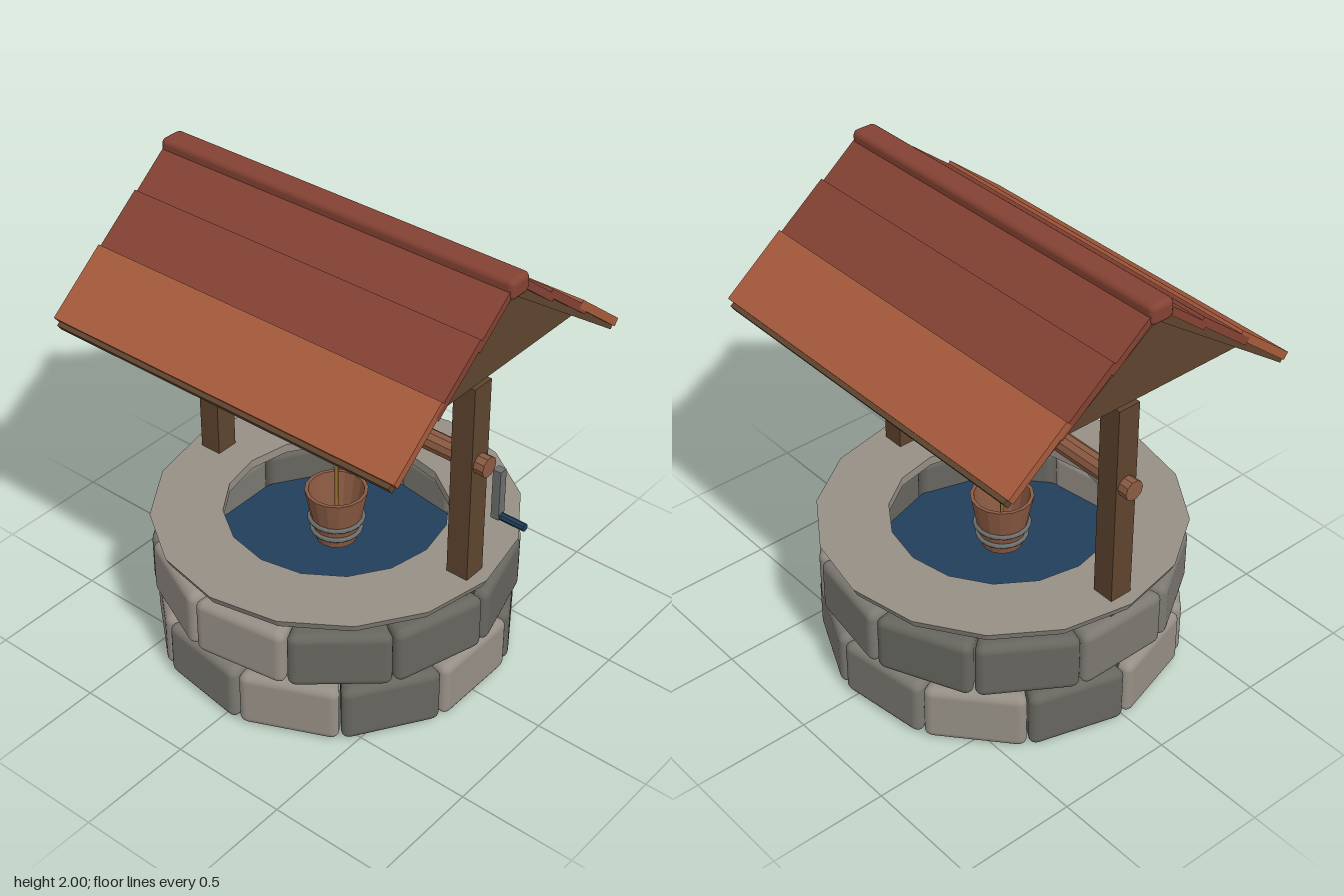
import * as THREE from 'three';
import { toCreasedNormals } from 'three/addons/utils/BufferGeometryUtils.js';
import { RoundedBoxGeometry } from 'three/addons/geometries/RoundedBoxGeometry.js';

const mat = (name, color, side = THREE.FrontSide) => {
  const m = new THREE.MeshStandardMaterial({ color, side });
  m.name = name;
  return m;
};

export function createModel() {
  const stone = {
    L: mat('lightStone', 0x968f86),
    M: mat('midStone', 0x7b7871),
    D: mat('darkStone', 0x66655e),
  };
  const tileRed = mat('redTile', 0x844233);
  const tileOrange = mat('orangeTile', 0xa65a3c);
  const timber = mat('darkTimber', 0x5e442e);
  const wood = mat('paleWood', 0x8a5a42);
  const rope = mat('rope', 0x8f6e2c);
  const iron = mat('iron', 0x6c6e6e);
  const water = mat('waterBlue', 0x213f5a, THREE.DoubleSide);

  const model = new THREE.Group();
  model.name = 'well';
  // the shaft axis sits slightly off centre because of the crank
  const well = new THREE.Group();
  well.name = 'wellBody';
  well.position.x = -0.04;
  model.add(well);

  const add = (name, geo, material, x = 0, y = 0, z = 0) => {
    const mesh = new THREE.Mesh(geo, material);
    mesh.name = name;
    mesh.position.set(x, y, z);
    well.add(mesh);
    return mesh;
  };
  const lathe = (pts, n) => toCreasedNormals(
    new THREE.LatheGeometry(pts.map(p => new THREE.Vector2(...p)), n), 0.3);
  const rod = (r, length, n) =>
    toCreasedNormals(new THREE.CylinderGeometry(r, r, length, n), 0.3).rotateZ(Math.PI / 2);
  // profile of [z, y] points run along x
  const extrudeX = (pts, length) => new THREE.ExtrudeGeometry(
    new THREE.Shape(pts.map(p => new THREE.Vector2(-p[0], p[1]))),
    { depth: length, bevelEnabled: false }).translate(0, 0, -length / 2).rotateY(Math.PI / 2);

  // two courses of wedge-shaped rounded stones
  const count = 11, step = Math.PI * 2 / count;
  const inner = 0.5, outer = 0.73, mid = (inner + outer) / 2;
  const block = new RoundedBoxGeometry(2 * mid * Math.tan(step / 2) * 0.985, 0.256, outer - inner, 3, 0.037);
  const p = block.attributes.position;
  for (let i = 0; i < p.count; i++) {
    const r = p.getZ(i) + mid;
    p.setXYZ(i, p.getX(i) * r / mid, p.getY(i), r);
  }
  const courses = [
    { y: 0.133, offset: 0, shades: 'LDLMLLDLMMD' },
    { y: 0.397, offset: 0.5, shades: 'DDLLMMDDMLD' },
  ];
  for (const { y, offset, shades } of courses) {
    for (let i = 0; i < count; i++) {
      const a = (i + offset) * step; // measured from +x towards +z
      add('wallStone', block, stone[shades[i]], 0, y, 0).rotation.y = Math.PI / 2 - a;
    }
  }

  // flared stone rim and water
  add('rim', lathe([[0.46, 0.56], [0.735, 0.56], [0.755, 0.6], [0.46, 0.6], [0.46, 0.56]], 16), stone.L);
  add('water', new THREE.CircleGeometry(0.52, 32).rotateX(-Math.PI / 2), water, 0, 0.37, 0);

  // posts and gables
  for (const s of [-1, 1]) {
    add('post', new THREE.BoxGeometry(0.098, 1.28, 0.1), timber, s * 0.647, 0.85, 0);
    add('gable', extrudeX([[-0.59, 1.505], [0.59, 1.505], [0, 1.92]], 0.03), timber, s * 0.675, 0, 0);
  }

  // windlass
  add('axle', rod(0.043, 1.48, 10), wood, 0, 1.137, 0);
  add('ropeDrum', rod(0.082, 0.256, 8).rotateX(Math.PI / 8), rope, 0, 1.137, 0);
  add('rope', new THREE.CylinderGeometry(0.008, 0.008, 0.62, 8), rope, 0, 0.78, 0);
  add('crankArm', new THREE.BoxGeometry(0.036, 0.222, 0.036), iron, 0.787, 1.04, 0);
  add('crankHandle', rod(0.016, 0.14, 8), water, 0.845, 0.94, 0);

  // hollow tapered bucket with two hoops
  add('bucket', lathe([[0, 0.44], [0.085, 0.44], [0.13, 0.68], [0.115, 0.68], [0.075, 0.465], [0, 0.465]], 16), wood);
  for (const [y, r] of [[0.49, 0.1], [0.543, 0.11]]) {
    add('bucketHoop', new THREE.TorusGeometry(r, 0.01, 6, 20).rotateX(Math.PI / 2), iron, 0, y, 0);
  }

  // roof slopes: boarding below, three tilted tile courses above
  const slab = (name, [z0, y0], [z1, y1], t, length, material, s) => {
    const l = Math.hypot(z1 - z0, y1 - y0);
    const nz = (y0 - y1) / l * t, ny = (z1 - z0) / l * t;
    const pts = [[z0, y0], [z1, y1], [z1 - nz, y1 - ny], [z0 - nz, y0 - ny]];
    add(name, extrudeX(pts.map(([z, y]) => [s * z, y]), length), material);
  };
  for (const s of [-1, 1]) {
    slab('roofBoards', [0, 1.953], [0.688, 1.468], 0.034, 1.61, timber, s);
    slab('tileCourse', [0.03, 1.975], [0.235, 1.812], 0.03, 1.65, tileRed, s);
    slab('tileCourse', [0.215, 1.845], [0.462, 1.651], 0.032, 1.65, tileRed, s);
    slab('tileCourse', [0.425, 1.697], [0.683, 1.492], 0.034, 1.65, tileOrange, s);
  }
  add('ridgeCap', new RoundedBoxGeometry(1.675, 0.086, 0.11, 2, 0.025), tileRed, 0, 1.957, 0);

  return model;
}
